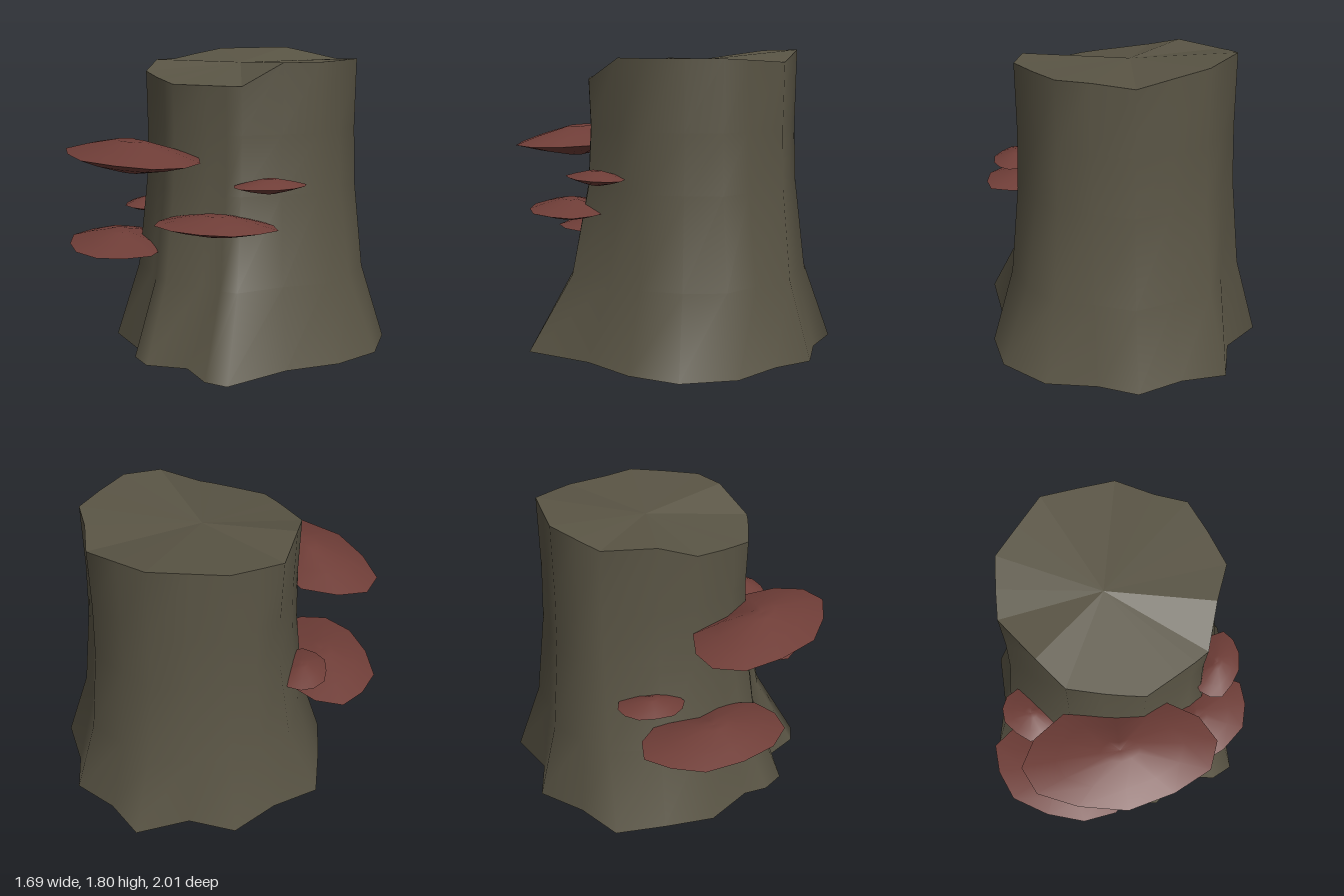
import * as THREE from 'three';

// Joins closed rings of points, listed from bottom to top, into a smooth skin.
function loft(rings) {
  const n = rings[0].length, index = [];
  for (let r = 0; r < rings.length - 1; r++) {
    for (let i = 0; i < n; i++) {
      const a = r * n + i, b = r * n + (i + 1) % n;
      index.push(a, a + n, b, b, a + n, b + n);
    }
  }
  const geo = new THREE.BufferGeometry();
  geo.setAttribute('position', new THREE.Float32BufferAttribute(rings.flat(2), 3));
  geo.setIndex(index);
  geo.computeVertexNormals();
  return geo;
}

// Root outline [x, z] on the ground, and the matching sawn edge [x, z, y].
const ROOTS = [
  [0.14, -1], [0.34, -0.86], [0.63, -0.75], [0.83, -0.48], [0.84, -0.17],
  [0.74, 0.15], [0.73, 0.57], [0.6, 0.63], [0.37, 0.59], [0.18, 0.75],
  [0.02, 0.73], [-0.1, 0.64], [-0.42, 0.59], [-0.64, 0.38], [-0.85, 0.16],
  [-0.78, -0.14], [-0.78, -0.46], [-0.54, -0.63], [-0.41, -0.94], [-0.14, -0.93],
];
const SAWN = [
  [0.11, -0.8, 1.735], [0.32, -0.67, 1.75], [0.5, -0.59, 1.76], [0.58, -0.39, 1.76], [0.65, -0.17, 1.76],
  [0.56, 0.04, 1.76], [0.48, 0.28, 1.63], [0.4, 0.33, 1.63], [0.29, 0.39, 1.63], [0.1, 0.49, 1.63],
  [-0.03, 0.47, 1.645], [-0.13, 0.45, 1.655], [-0.33, 0.4, 1.68], [-0.47, 0.23, 1.74], [-0.65, -0.03, 1.73],
  [-0.64, -0.2, 1.76], [-0.62, -0.39, 1.79], [-0.48, -0.55, 1.795], [-0.33, -0.72, 1.8], [-0.12, -0.76, 1.77],
];

// Hollow trunk wall: [height, blend from roots to sawn edge]
function trunkGeometry() {
  const rings = [[0, 0], [0.46, 0.7], [1.0, 0.98], [1.35, 1.03]].map(([y, t]) =>
    ROOTS.map(([x, z], i) => [
      THREE.MathUtils.lerp(x, SAWN[i][0], t), y,
      THREE.MathUtils.lerp(z, SAWN[i][1], t),
    ]));
  rings.push(SAWN.map(([x, z, y]) => [x, y, z]));
  return loft(rings);
}

// Faceted fan closing the top of the trunk
function sawnTopGeometry() {
  const pos = [];
  SAWN.forEach(([x, z, y], i) => {
    const [x2, z2, y2] = SAWN[(i + 1) % SAWN.length];
    pos.push(-0.05, 1.73, -0.12, x2, y2, z2, x, y, z);
  });
  const geo = new THREE.BufferGeometry();
  geo.setAttribute('position', new THREE.Float32BufferAttribute(pos, 3));
  geo.computeVertexNormals();
  return geo;
}

// One half of a bracket fungus; dir is 1 for the upper and -1 for the lower side.
function fungusHalf(rx, rz, h, seed, dir) {
  const n = 12;
  const ring = (scale, y) => Array.from({ length: n }, (_, i) => {
    const t = (i / n) * Math.PI * 2;
    const notch = i === 9 ? 0.72 : 1; // pinch against the bark
    const k = scale * notch * (1 + 0.035 * Math.sin(i * 2.6 + seed));
    return [Math.cos(t) * rx * k, y * dir, Math.sin(t) * rz * k];
  });
  const rings = [ring(1, 0), ring(0.65, h * 0.5), ring(0.2, h), ring(0.001, h * 0.93)];
  return loft(dir > 0 ? rings : rings.reverse());
}

export function createModel() {
  const bark = new THREE.MeshStandardMaterial({ color: 0x5a5545, side: THREE.DoubleSide });
  bark.name = 'bark';
  const red = new THREE.MeshStandardMaterial({ color: 0x703e38 });
  red.name = 'fungusRed';

  const model = new THREE.Group();
  model.name = 'treeStump';
  const add = (parent, name, geo, mat) => {
    const mesh = new THREE.Mesh(geo, mat);
    mesh.name = name;
    parent.add(mesh);
  };
  add(model, 'trunk', trunkGeometry(), bark);
  add(model, 'sawnTop', sawnTopGeometry(), bark);

  // Shelf fungi: name, centre x y z, half width, half depth, half height, turn in degrees
  const fungi = [
    ['upperFrontFungus', -0.07, 1.21, 0.68, 0.57, 0.32, 0.092, 0],
    ['upperLeftFungus', 0.6, 1.07, 0.17, 0.218, 0.137, 0.042, -69],
    ['lowerLeftFungus', 0.445, 0.848, 0.44, 0.365, 0.25, 0.06, -33],
    ['smallRightFungus', -0.57, 0.79, 0.24, 0.2, 0.155, 0.045, 45],
    ['lowerRightFungus', -0.41, 0.608, 0.57, 0.46, 0.316, 0.075, 27],
  ];
  fungi.forEach(([name, x, y, z, rx, rz, h, turn], i) => {
    const fungus = new THREE.Group();
    fungus.name = name;
    fungus.position.set(x, y, z);
    fungus.rotation.y = -THREE.MathUtils.degToRad(turn);
    add(fungus, 'upperSide', fungusHalf(rx, rz, h, i, 1), red);
    add(fungus, 'underside', fungusHalf(rx, rz, h, i, -1), red);
    model.add(fungus);
  });
  return model;
}
